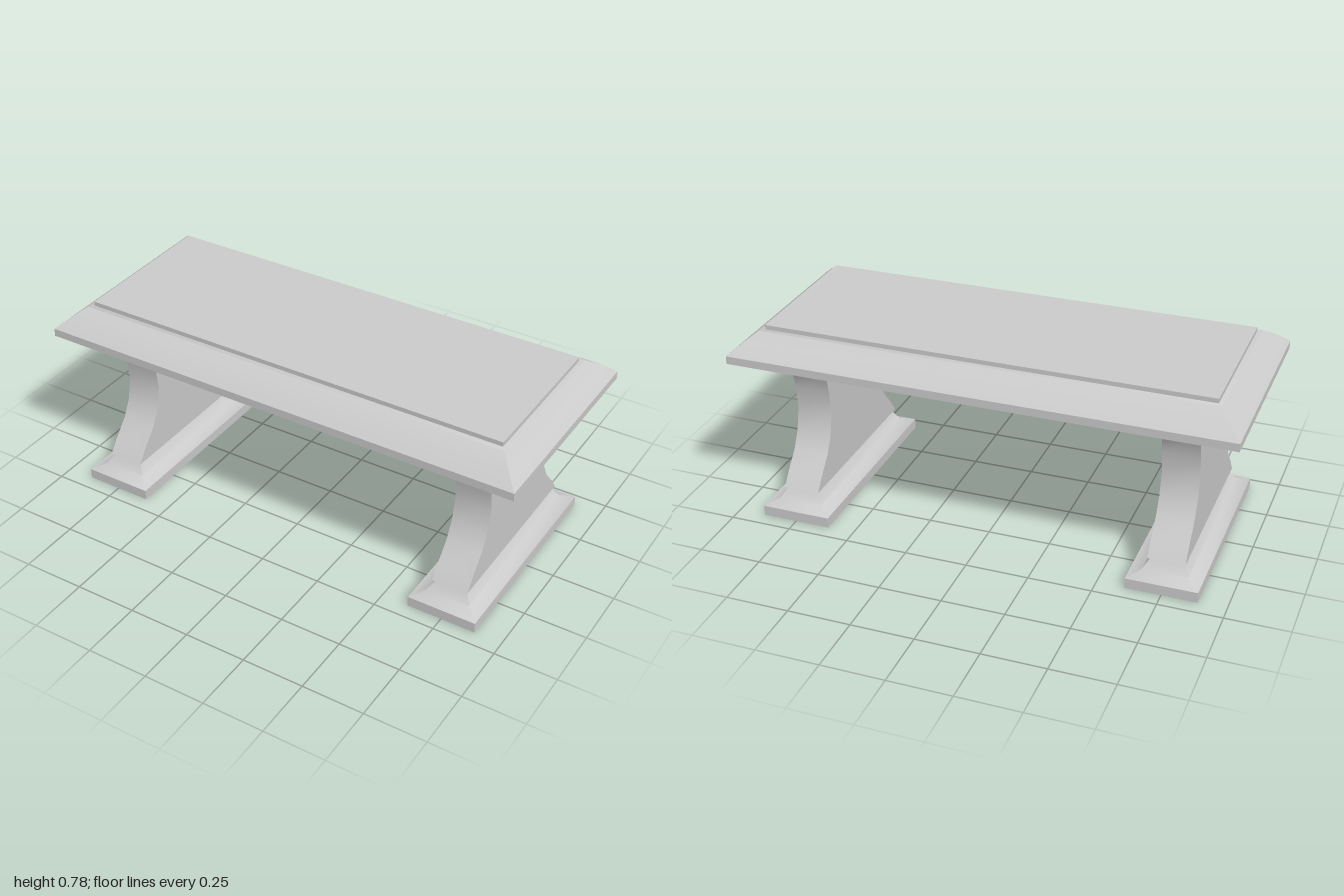
import * as THREE from 'three';
import { toCreasedNormals } from 'three/addons/utils/BufferGeometryUtils.js';

const material = new THREE.MeshStandardMaterial({ color: 0xcccccc });
const CREASE = 0.7;

function part(name, geometry) {
  const mesh = new THREE.Mesh(toCreasedNormals(geometry, CREASE), material);
  mesh.name = name;
  return mesh;
}

// Closed moulding made of stacked rectangles: levels are [y, half width, half depth].
function moulding(levels) {
  const positions = [];
  const index = [];
  for (const [y, w, d] of levels) {
    positions.push(-w, y, d, w, y, d, w, y, -d, -w, y, -d);
  }
  for (let i = 0; i < levels.length - 1; i++) {
    for (let j = 0; j < 4; j++) {
      const a = i * 4 + j;
      const b = i * 4 + (j + 1) % 4;
      index.push(a, b, b + 4, a, b + 4, a + 4);
    }
  }
  const t = (levels.length - 1) * 4;
  index.push(0, 2, 1, 0, 3, 2, t, t + 1, t + 2, t, t + 2, t + 3);
  const geometry = new THREE.BufferGeometry();
  geometry.setAttribute('position', new THREE.Float32BufferAttribute(positions, 3));
  geometry.setIndex(index);
  return geometry;
}

// Waisted slab: half outline as [z, y], mirrored and extruded along x.
function pedestalGeometry(width) {
  const half = [
    [0.378, 0.11], [0.342, 0.16], [0.277, 0.233], [0.242, 0.3], [0.221, 0.395],
    [0.232, 0.485], [0.25, 0.57], [0.3, 0.617], [0.3, 0.656],
  ];
  const mirrored = half.map(([z, y]) => [-z, y]).reverse();
  const shape = new THREE.Shape([...half, ...mirrored].map(([z, y]) => new THREE.Vector2(z, y)));
  const geometry = new THREE.ExtrudeGeometry(shape, { depth: width, bevelEnabled: false });
  geometry.translate(0, 0, -width / 2);
  geometry.rotateY(Math.PI / 2);
  return geometry;
}

export function createModel() {
  const bench = new THREE.Group();
  bench.name = 'bench';

  // Seat slab with sloping rounded edge, and the raised panel on it
  bench.add(part('seatSlab', moulding([
    [0.656, 1, 0.439], [0.688, 1, 0.439], [0.73, 0.952, 0.391], [0.765, 0.908, 0.334],
  ])));
  bench.add(part('seatPanel', moulding([[0.764, 0.89, 0.314], [0.783, 0.89, 0.314]])));

  // Two matching legs on moulded feet
  for (const [side, name] of [[1, 'leftLeg'], [-1, 'rightLeg']]) {
    const leg = new THREE.Group();
    leg.name = name;
    leg.position.x = side * 0.749;
    leg.add(part('pedestal', pedestalGeometry(0.146)));
    leg.add(part('foot', moulding([
      [0, 0.14, 0.439], [0.042, 0.14, 0.439], [0.065, 0.089, 0.388], [0.111, 0.06, 0.359],
    ])));
    bench.add(leg);
  }
  return bench;
}
